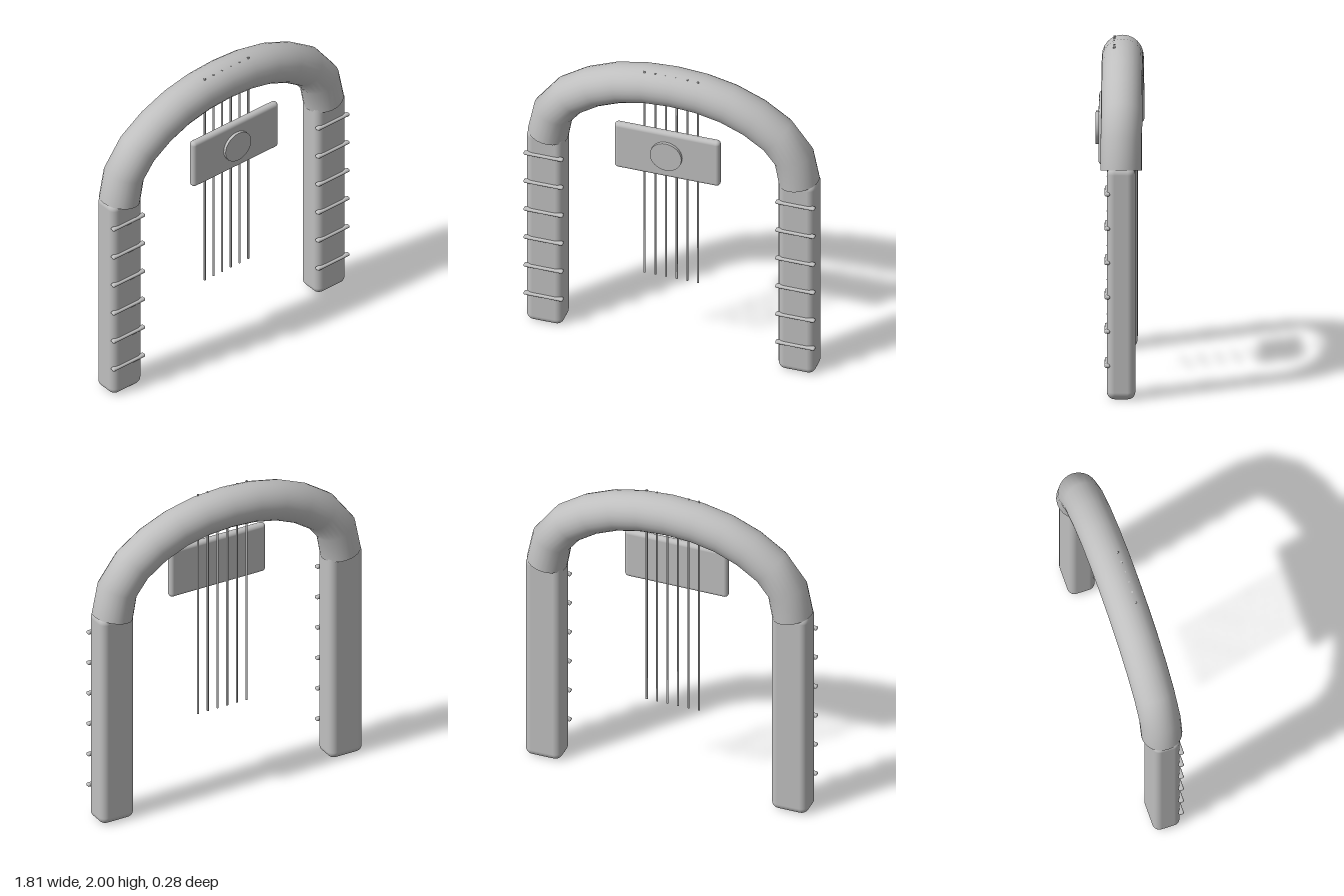
import * as THREE from 'three';
import { RoundedBoxGeometry } from 'three/addons/geometries/RoundedBoxGeometry.js';

export function createModel() {
  const model = new THREE.Group();
  model.name = 'stringedArch';
  const grey = new THREE.MeshStandardMaterial({ color: 0xbfbfbf, side: THREE.DoubleSide });
  grey.name = 'grey';

  const add = (name, geometry, x, y, z) => {
    const mesh = new THREE.Mesh(geometry, grey);
    mesh.name = name;
    mesh.position.set(x, y, z);
    model.add(mesh);
    return mesh;
  };

  // Arch: thick tube over half an oval, open where the legs enter
  const half = [[0.78, 1.363], [0.746, 1.535], [0.68, 1.633], [0.56, 1.729], [0.395, 1.812], [0.2, 1.862]];
  const points = [
    ...half.map(([x, y]) => new THREE.Vector3(-x, y, 0)),
    new THREE.Vector3(0, 1.877, 0),
    ...half.slice().reverse().map(([x, y]) => new THREE.Vector3(x, y, 0)),
  ];
  const path = new THREE.CatmullRomCurve3(points);
  add('arch', new THREE.TubeGeometry(path, 12, 0.1225, 24, false), 0, 0, -0.017);

  // Legs with six horizontal rungs on each front
  const leg = new RoundedBoxGeometry(0.23, 1.4, 0.168, 4, 0.045);
  const rung = new RoundedBoxGeometry(0.245, 0.02, 0.032, 3, 0.0095);
  for (const side of [-1, 1]) {
    const prefix = side > 0 ? 'left' : 'right';
    add(prefix + 'Leg', leg, side * 0.782, 0.7, -0.016);
    for (let i = 1; i <= 6; i++) add(prefix + 'Rung', rung, side * 0.782, i * 0.2067, 0.066);
  }

  // Hanging strings, whose tops just pierce the arch
  const string = new THREE.CylinderGeometry(0.0065, 0.0065, 1.487, 8);
  for (let i = 0; i < 6; i++) add('string', string, (i - 2.5) * 0.0665, 1.2435, 0.03);

  // Plate in front of the strings with a round boss
  add('plate', new RoundedBoxGeometry(0.656, 0.326, 0.05, 4, 0.024), 0, 1.467, 0.098);
  add('boss', new THREE.CylinderGeometry(0.098, 0.098, 0.04, 32), 0, 1.467, 0.121).rotation.x = Math.PI / 2;

  return model;
}
